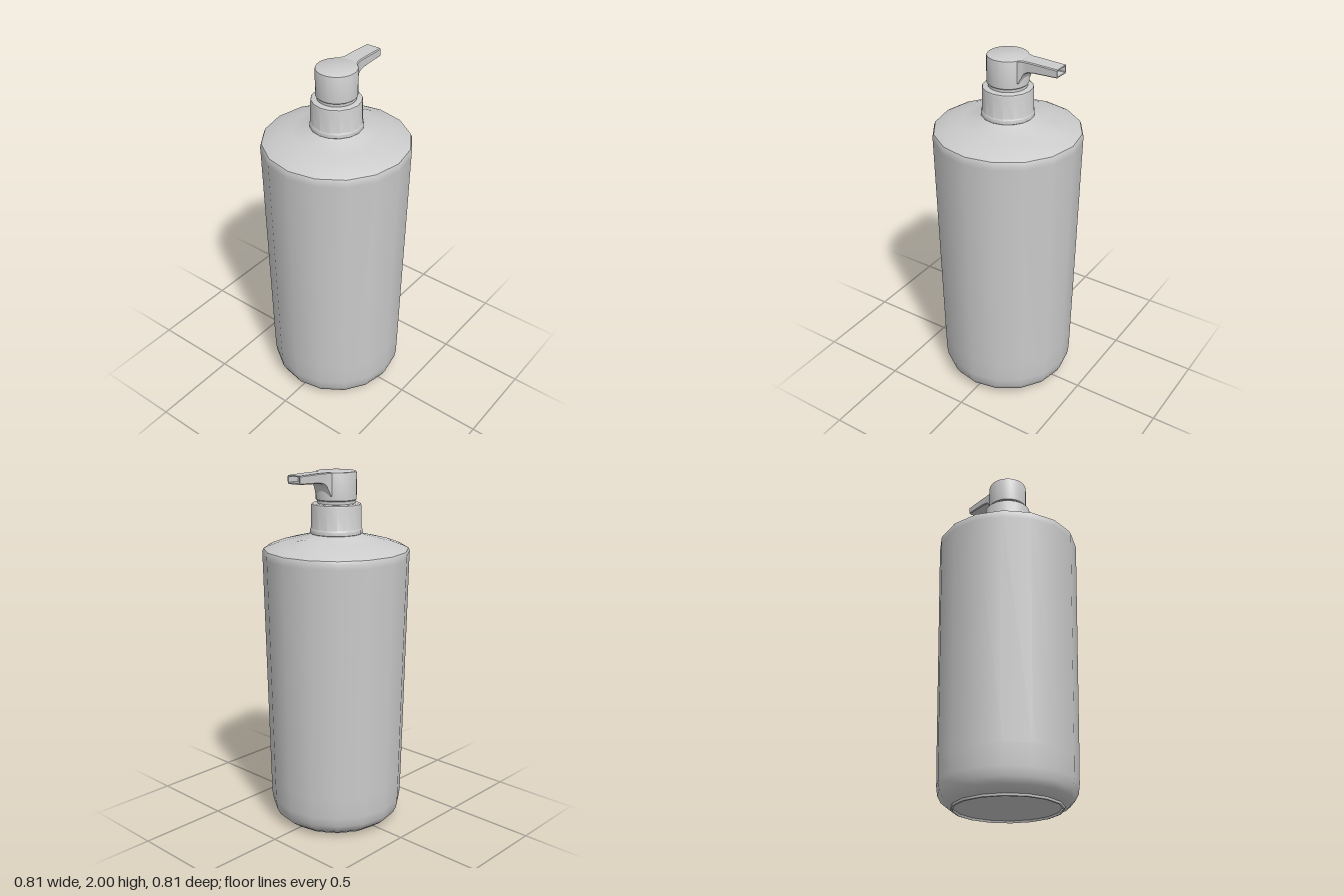
import * as THREE from 'three';
import { toCreasedNormals } from 'three/addons/utils/BufferGeometryUtils.js';

const material = new THREE.MeshStandardMaterial({ color: 0xcccccc });

function addMesh(group, name, geometry, crease = 0.7) {
  const mesh = new THREE.Mesh(toCreasedNormals(geometry, crease), material);
  mesh.name = name;
  group.add(mesh);
  return mesh;
}

function lathe(profile, sides) {
  return new THREE.LatheGeometry(profile.map(([r, y]) => new THREE.Vector2(r, y)), sides);
}

// Joins equal-length loops of points into a skin, closing the last loop
function loft(loops) {
  const n = loops[0].length;
  const positions = loops.flat(2);
  const index = [];
  for (let i = 0; i < loops.length - 1; i++) {
    for (let j = 0; j < n; j++) {
      const a = i * n + j, b = i * n + (j + 1) % n;
      index.push(a, b, a + n, b, b + n, a + n);
    }
  }
  const last = (loops.length - 1) * n;
  for (let j = 1; j < n - 1; j++) index.push(last, last + j, last + j + 1);
  const geometry = new THREE.BufferGeometry();
  geometry.setAttribute('position', new THREE.Float32BufferAttribute(positions, 3));
  geometry.setIndex(index);
  return geometry;
}

// Rectangular section with chamfered corners, in the plane z
function section(z, halfWidth, bottom, top, c) {
  const w = halfWidth;
  return [
    [-w + c, top], [-w, top - c], [-w, bottom + c], [-w + c, bottom],
    [w - c, bottom], [w, bottom + c], [w, top - c], [w - c, top],
  ].reverse().map(([x, y]) => [x, y, z]);
}

export function createModel() {
  const model = new THREE.Group();
  model.name = 'pumpBottle';

  // Tapered sixteen-sided bottle with a rounded foot and sloping shoulder
  const body = lathe([
    [0, 0.012], [0.285, 0.012], [0.29, 0], [0.298, 0.002], [0.3, 0.014],
    [0.325, 0.022], [0.353, 0.045], [0.371, 0.08], [0.378, 0.13],
    [0.381, 0.25], [0.404, 1.54], [0.405, 1.565], [0.398, 1.583],
    [0.375, 1.594], [0.31, 1.618], [0.24, 1.635], [0.16, 1.655], [0.13, 1.672],
  ], 16);
  // Small rise in the shoulder beneath the spout
  const p = body.attributes.position;
  for (let i = 0; i < p.count; i++) {
    const r = Math.hypot(p.getX(i), p.getZ(i));
    if (p.getY(i) > 1.6 && p.getZ(i) < -0.2 && Math.abs(p.getX(i)) < 0.01 && r < 0.28) {
      p.setY(i, 1.655);
    }
  }
  addMesh(model, 'bottleBody', body, 0.75);

  // Screw collar around the neck
  addMesh(model, 'collar', lathe([
    [0.13, 1.655], [0.143, 1.668], [0.143, 1.688], [0.138, 1.695],
    [0.137, 1.815], [0.134, 1.825], [0.126, 1.83], [0.09, 1.83],
  ], 16));

  // Narrow stem between collar and pump head
  addMesh(model, 'stem', lathe([[0.104, 1.82], [0.104, 1.86]], 32));

  // Pump head
  addMesh(model, 'pumpHead', lathe([
    [0, 1.846], [0.106, 1.846], [0.111, 1.851], [0.111, 1.99],
    [0.109, 1.997], [0.104, 2], [0, 2],
  ], 32));

  // Spout blended into the head, with an open, hollow tip
  addMesh(model, 'spout', loft([
    section(-0.07, 0.064, 1.865, 1.996, 0.004),
    section(-0.1, 0.058, 1.875, 2, 0.005),
    section(-0.113, 0.052, 1.905, 2, 0.005),
    section(-0.125, 0.049, 1.928, 2, 0.005),
    section(-0.145, 0.048, 1.941, 2, 0.005),
    section(-0.18, 0.048, 1.947, 2, 0.005),
    section(-0.315, 0.045, 1.951, 1.996, 0.005),
    section(-0.315, 0.038, 1.957, 1.99, 0.003),
    section(-0.25, 0.036, 1.957, 1.99, 0.003),
  ]));

  return model;
}
